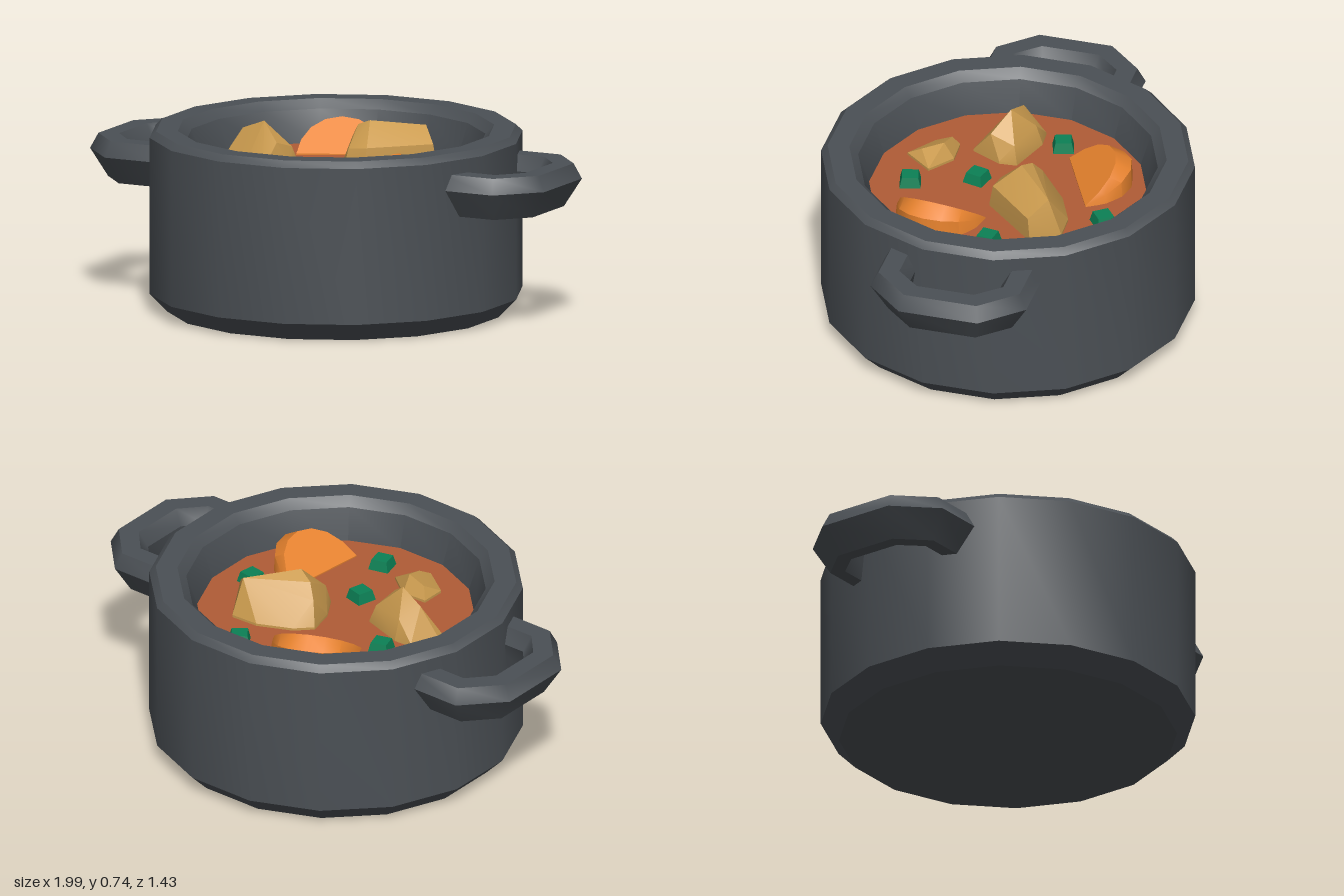
import * as THREE from 'three';
import { mergeGeometries, toCreasedNormals } from 'three/addons/utils/BufferGeometryUtils.js';
import { ConvexGeometry } from 'three/addons/geometries/ConvexGeometry.js';

const mat = (name, color) => {
  const m = new THREE.MeshStandardMaterial({ color });
  m.name = name;
  return m;
};

const SIDES = 16;
const STEW_Y = 0.555;
const CORNER = 1 / Math.cos(Math.PI / SIDES); // flat-to-flat radius -> corner radius

// One handle: a six-sided section swept round a mitred path, hard along its edges
function handleGeometry() {
  const k = Math.tan(Math.PI / 8);
  const path = (d) => {
    const half = [[0.6, 0.245 + d], [0.82 + k * d, 0.245 + d], [0.925 + d, 0.13 + k * d]];
    return [...half.map(([x, z]) => [x, -z]), ...half.reverse()];
  };
  const section = [[-0.035, 0.635], [0.04, 0.635], [0.07, 0.575], [0.005, 0.465], [-0.05, 0.465], [-0.07, 0.575]];
  const strips = section.map(([d0, y0], j) => {
    const [d1, y1] = section[(j + 1) % section.length];
    const a = path(d0), b = path(d1);
    const pos = [], index = [];
    a.forEach((p, i) => {
      pos.push(p[0], y0, p[1], b[i][0], y1, b[i][1]);
      if (i < a.length - 1) {
        const n = 2 * i;
        index.push(n, n + 2, n + 1, n + 1, n + 2, n + 3);
      }
    });
    const g = new THREE.BufferGeometry();
    g.setAttribute('position', new THREE.Float32BufferAttribute(pos, 3));
    g.setIndex(index);
    g.computeVertexNormals();
    return g;
  });
  return mergeGeometries(strips);
}

// Leaning half-round slice: straight edge along x, curved side towards +z
function carrotGeometry() {
  const pts = [];
  for (let i = 0; i <= 8; i++) {
    const t = (i / 8) * Math.PI, c = Math.cos(t), s = Math.sin(t);
    pts.push(new THREE.Vector3(0.185 * c, 0.5, 0.22 * s));
    pts.push(new THREE.Vector3(0.175 * c, 0.56 + 0.08 * s, 0.215 * s));
    pts.push(new THREE.Vector3(0.17 * c, 0.56 + 0.12 * s, 0.15 * s));
  }
  return toCreasedNormals(new ConvexGeometry(pts), 0.6);
}

// Faceted chunk: a footprint sunk in the stew plus a few raised corners [x, z, y]
function chunkGeometry(foot, raised) {
  const pts = [
    ...foot.map(([x, z]) => new THREE.Vector3(x, 0.5, z)),
    ...foot.map(([x, z]) => new THREE.Vector3(x, STEW_Y + 0.01, z)),
    ...raised.map(([x, z, y]) => new THREE.Vector3(x, y, z)),
  ];
  return toCreasedNormals(new ConvexGeometry(pts), 0.35);
}

export function createModel() {
  const iron = mat('castIron', 0x4b5055);
  const broth = mat('stewBrown', 0xb05c36);
  const orange = mat('carrotOrange', 0xe8832e);
  const tan = mat('potatoTan', 0xcb9b4e);
  const green = mat('herbGreen', 0x0c8055);

  const model = new THREE.Group();
  model.name = 'stewPot';
  const add = (name, geometry, material) => {
    const mesh = new THREE.Mesh(geometry, material);
    mesh.name = name;
    model.add(mesh);
    return mesh;
  };

  // Pot: outside, bevelled rim and inside in one profile
  const profile = [
    [0, 0], [0.645, 0], [0.715, 0.073], [0.715, 0.69], [0.69, 0.715],
    [0.607, 0.715], [0.573, 0.68], [0.53, 0.55], [0.53, 0.5], [0, 0.5],
  ].map(([r, y]) => new THREE.Vector2(r * CORNER, y));
  const pot = new THREE.LatheGeometry(profile, SIDES, Math.PI / SIDES);
  add('pot', toCreasedNormals(pot, 0.42), iron);

  // Two handles
  const handle = handleGeometry();
  add('leftHandle', handle, iron);
  add('rightHandle', handle, iron).rotation.y = Math.PI;

  // Stew surface
  const surface = new THREE.CircleGeometry(0.534 * CORNER, SIDES, Math.PI / SIDES);
  add('stew', surface.rotateX(-Math.PI / 2), broth).position.y = STEW_Y;

  // Carrot slices
  const carrot = carrotGeometry();
  [[-0.107, -0.25, Math.atan2(-0.44, -0.9)], [0.215, 0.2, Math.atan2(0.99, 0.1)]].forEach(([x, z, a], i) => {
    const m = add('carrot' + (i + 1), carrot, orange);
    m.position.set(x, 0, z);
    m.rotation.y = a;
  });

  // Potato chunks
  add('potatoLarge', chunkGeometry(
    [[-0.03, -0.17], [0.03, -0.23], [0.165, -0.29], [0.28, -0.295], [0.345, -0.185], [0.14, 0.035], [0.05, 0.03], [-0.005, -0.06]],
    [[0.0, -0.14, 0.66], [0.105, -0.085, 0.74], [0.27, -0.24, 0.71], [0.04, -0.11, 0.715],
      [0.335, -0.175, 0.65], [0.145, 0.02, 0.65], [0.06, 0.01, 0.64]]), tan);
  add('potatoMedium', chunkGeometry(
    [[-0.46, 0.065], [-0.405, -0.04], [-0.33, -0.045], [-0.16, 0.01], [-0.155, 0.08], [-0.215, 0.2], [-0.315, 0.165], [-0.45, 0.1]],
    [[-0.385, 0.045, 0.69], [-0.28, 0.067, 0.73], [-0.195, 0.125, 0.66], [-0.33, -0.02, 0.64], [-0.18, 0.025, 0.63]]), tan);
  add('potatoSmall', chunkGeometry(
    [[-0.235, 0.26], [-0.13, 0.255], [-0.03, 0.33], [-0.12, 0.44], [-0.235, 0.36]],
    [[-0.13, 0.295, 0.63], [-0.21, 0.285, 0.61], [-0.11, 0.38, 0.6]]), tan);

  // Herb cubes
  const herb = new THREE.CylinderGeometry(0.045, 0.064, 0.06, 4, 1).toNonIndexed();
  herb.rotateY(Math.PI / 4);
  herb.computeVertexNormals();
  [[0.14, -0.425, 0.65], [-0.33, -0.13, 0.3], [0.395, -0.03, -0.15], [-0.02, 0.13, -0.25], [0.07, 0.375, 0.25]].forEach(([x, z, a], i) => {
    const m = add('herb' + (i + 1), herb, green);
    m.position.set(x, STEW_Y + 0.012, z);
    m.rotation.y = a;
  });

  return model;
}
